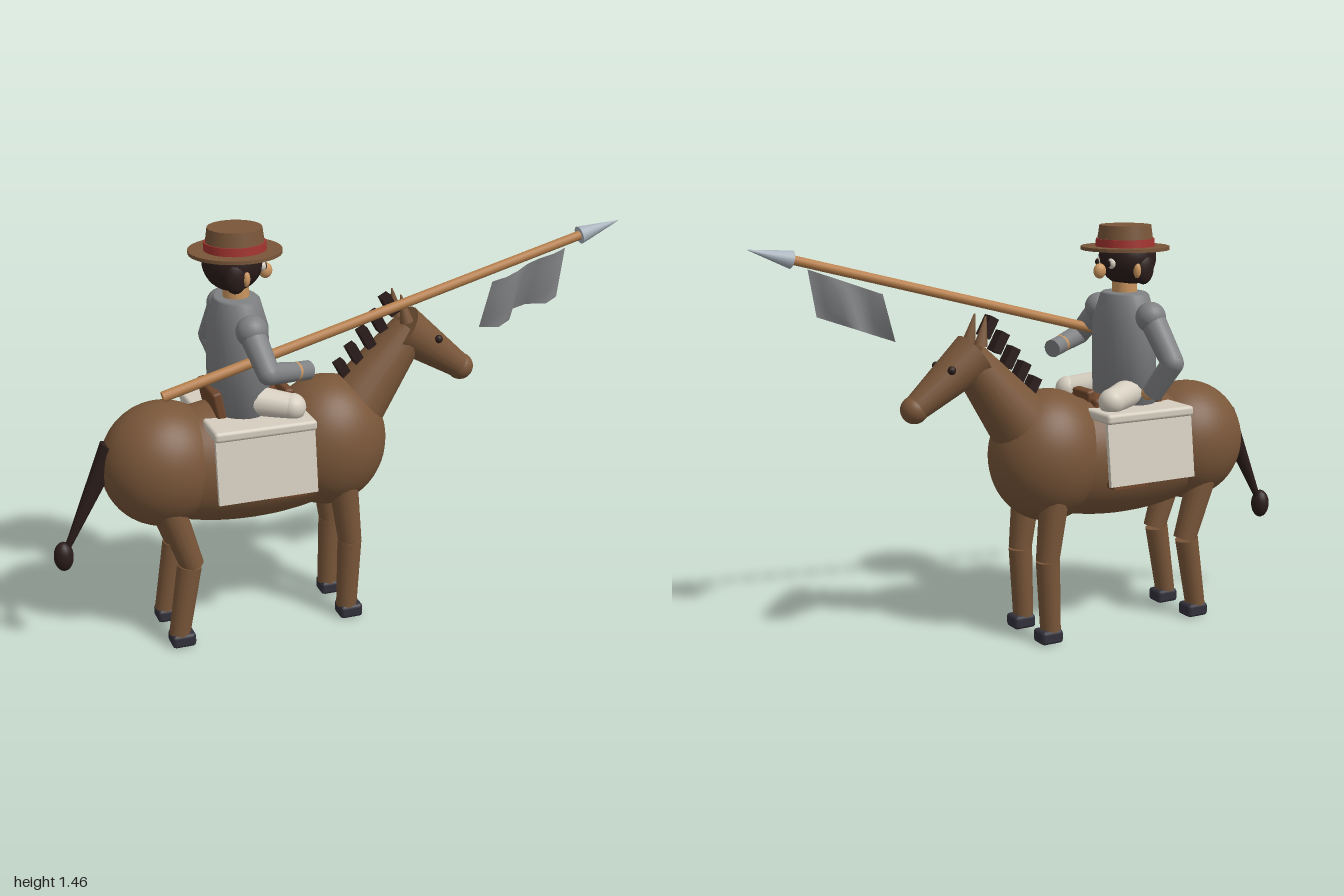
import * as THREE from 'three';
import { RoundedBoxGeometry } from 'three/addons/geometries/RoundedBoxGeometry.js';

const mat = (name, color, side = THREE.FrontSide) => {
  const m = new THREE.MeshStandardMaterial({ color, side });
  m.name = name;
  return m;
};

export function createModel() {
  const coat = mat('brown coat', 0x795639);
  const leather = mat('saddle leather', 0x70472c);
  const hair = mat('dark hair', 0x2b1d1b);
  const hoofMat = mat('hoof', 0x32303a);
  const cream = mat('cream cloth', 0xd6cec0);
  const grey = mat('grey cloth', 0x808183, THREE.DoubleSide);
  const red = mat('red band', 0xa33430);
  const steel = mat('steel', 0xaab4be);
  const wood = mat('wood', 0xb9814d);
  const skin = mat('skin', 0xcb965f);

  const root = new THREE.Group();
  const V = (p) => new THREE.Vector3(...p);
  const add = (parent, name, geo, m, pos = [0, 0, 0], rot = [0, 0, 0]) => {
    const mesh = new THREE.Mesh(geo, m);
    mesh.name = name;
    mesh.position.set(...pos);
    mesh.rotation.set(...rot);
    parent.add(mesh);
    return mesh;
  };
  const group = (name) => {
    const g = new THREE.Group();
    g.name = name;
    root.add(g);
    return g;
  };
  // ellipsoid with radii r
  const ball = (parent, name, m, pos, r, seg = 28) => {
    const geo = new THREE.SphereGeometry(1, seg, Math.ceil(seg * 0.7)).scale(...r);
    return add(parent, name, geo, m, pos);
  };
  // tapered cylinder between two points
  const limb = (parent, name, m, a, b, ra, rb, seg = 16) => {
    const A = V(a), B = V(b), d = B.clone().sub(A);
    const mesh = add(parent, name, new THREE.CylinderGeometry(rb, ra, d.length(), seg), m);
    mesh.position.copy(A.add(B).multiplyScalar(0.5));
    mesh.quaternion.setFromUnitVectors(new THREE.Vector3(0, 1, 0), d.normalize());
    return mesh;
  };

  // Horse body
  const horse = group('horse');
  ball(horse, 'chest', coat, [-0.01, 0.66, 0], [0.215, 0.237, 0.195], 40);
  ball(horse, 'rump', coat, [-0.605, 0.655, 0], [0.215, 0.22, 0.195], 40);
  ball(horse, 'barrel', coat, [-0.3, 0.64, 0], [0.5, 0.223, 0.19], 40);

  // Neck and head
  limb(horse, 'neck', coat, [0.08, 0.76, 0], [0.305, 1.035, 0], 0.12, 0.066, 20);
  limb(horse, 'head', coat, [0.275, 1.04, 0], [0.505, 0.87, 0], 0.085, 0.045, 20);
  ball(horse, 'muzzle', coat, [0.505, 0.87, 0], [0.048, 0.048, 0.048]);
  for (const s of [1, -1]) {
    limb(horse, 'horseEar', coat, [0.275, 1.075, s * 0.045], [0.252, 1.175, s * 0.04], 0.024, 0.003, 10);
    ball(horse, 'horseEye', hair, [0.392, 1.003, s * 0.06], [0.015, 0.015, 0.013], 12);
  }
  for (let i = 0; i < 5; i++) {
    const t = i / 4;
    add(horse, 'maneTuft', new THREE.BoxGeometry(0.035, 0.075, 0.045), hair,
      [0.055 + 0.17 * t, 0.91 + 0.222 * t, 0], [0, 0, 0.5]);
  }

  // Legs: upper joint, knee top, knee bottom, ankle x
  for (const s of [1, -1]) {
    const z = s * 0.1;
    for (const [name, hip, knee, low, ankle] of [
      ['front', 0.015, 0.045, 0.044, 0.033], ['rear', -0.62, -0.54, -0.55, -0.594]]) {
      const leg = new THREE.Group();
      leg.name = name + 'Leg';
      horse.add(leg);
      limb(leg, 'upperLeg', coat, [hip, 0.55, z], [knee, 0.3, z], 0.054, 0.042);
      limb(leg, 'lowerLeg', coat, [low, 0.3, z], [ankle, 0.04, z], 0.043, 0.037);
      add(leg, 'hoof', new RoundedBoxGeometry(0.086, 0.05, 0.078, 1, 0.013), hoofMat, [ankle + 0.009, 0.025, z]);
    }
  }

  // Tail
  limb(horse, 'tail', hair, [-0.78, 0.74, 0], [-0.955, 0.38, 0], 0.042, 0.01, 12);
  ball(horse, 'tailTuft', hair, [-0.965, 0.36, 0], [0.034, 0.053, 0.034], 18);

  // Saddle cloth, side panels and saddle
  const tack = group('saddle');
  add(tack, 'saddleCloth', new RoundedBoxGeometry(0.36, 0.036, 0.46, 2, 0.012), cream, [-0.302, 0.81, 0]);
  for (const s of [1, -1]) {
    add(tack, 'sidePanel', new THREE.BoxGeometry(0.35, 0.24, 0.016), cream, [-0.302, 0.693, s * 0.222], [-s * 0.13, 0, 0]);
    add(tack, 'panelFlap', new THREE.BoxGeometry(0.32, 0.21, 0.02), cream, [-0.302, 0.69, s * 0.215], [-s * 0.13, 0, 0]);
    add(tack, 'stirrup', new THREE.BoxGeometry(0.14, 0.02, 0.05), leather, [-0.225, 0.567, s * 0.195]);
  }
  add(tack, 'saddleSeat', new RoundedBoxGeometry(0.27, 0.05, 0.18, 2, 0.015), leather, [-0.29, 0.835, 0]);
  add(tack, 'cantle', new RoundedBoxGeometry(0.034, 0.1, 0.2, 2, 0.01), leather, [-0.425, 0.87, 0], [0, 0, 0.2]);
  add(tack, 'pommel', new RoundedBoxGeometry(0.035, 0.06, 0.11, 2, 0.01), leather, [-0.165, 0.855, 0], [0, 0, -0.2]);

  // Rider torso
  const rider = group('rider');
  const profile = [[0, 0.83], [0.104, 0.83], [0.104, 1.12], [0.078, 1.215], [0.07, 1.222], [0, 1.222]]
    .map((p) => new THREE.Vector2(...p));
  const torso = add(rider, 'torso', new THREE.LatheGeometry(profile, 28), grey, [-0.33, 0, 0]);
  torso.scale.z = 1.34;
  limb(rider, 'riderNeck', skin, [-0.33, 1.2, 0], [-0.33, 1.28, 0], 0.045, 0.045);

  // Rider head: dark hair and beard, eyes, ears, nose
  ball(rider, 'riderHead', hair, [-0.34, 1.345, 0], [0.103, 0.102, 0.103]);
  ball(rider, 'nose', skin, [-0.225, 1.3, 0], [0.024, 0.027, 0.019], 16);
  for (const s of [1, -1]) {
    ball(rider, 'sideHair', hair, [-0.355, 1.31, s * 0.083], [0.04, 0.057, 0.025], 16);
    ball(rider, 'riderEar', skin, [-0.322, 1.305, s * 0.093], [0.014, 0.028, 0.014], 14);
    ball(rider, 'eyeWhite', cream, [-0.25, 1.328, s * 0.038], [0.014, 0.019, 0.019], 16);
    ball(rider, 'pupil', hair, [-0.238, 1.328, s * 0.038], [0.006, 0.012, 0.012], 12);
  }

  // Hat
  add(rider, 'hatBrim', new THREE.CylinderGeometry(0.158, 0.158, 0.012, 40), coat, [-0.33, 1.378, 0]);
  add(rider, 'hatCrown', new THREE.CylinderGeometry(0.092, 0.103, 0.078, 40), coat, [-0.33, 1.42, 0]);
  add(rider, 'hatBand', new THREE.CylinderGeometry(0.104, 0.106, 0.028, 40), red, [-0.33, 1.397, 0]);

  // Rider thighs and shoulders
  for (const s of [1, -1]) {
    limb(rider, 'thigh', cream, [-0.3, 0.875, s * 0.09], [-0.185, 0.858, s * 0.15], 0.052, 0.045);
    ball(rider, 'hip', cream, [-0.3, 0.875, s * 0.09], [0.052, 0.052, 0.052], 18);
    ball(rider, 'knee', cream, [-0.185, 0.858, s * 0.15], [0.047, 0.047, 0.047], 18);
    ball(rider, 'shoulder', grey, [-0.33, 1.148, s * 0.17], [0.054, 0.054, 0.052], 20);
  }

  // Arms: one reaching forward, the other resting on the hip
  const elbowA = [-0.31, 1.035, 0.28];
  limb(rider, 'upperArm', grey, [-0.33, 1.14, 0.172], elbowA, 0.045, 0.038);
  ball(rider, 'elbow', grey, elbowA, [0.038, 0.038, 0.038], 16);
  limb(rider, 'forearm', grey, elbowA, [-0.205, 1.013, 0.23], 0.038, 0.033);
  limb(rider, 'wrist', skin, [-0.208, 1.013, 0.231], [-0.196, 1.011, 0.225], 0.033, 0.033);
  limb(rider, 'glove', grey, [-0.198, 1.011, 0.226], [-0.147, 1.002, 0.2], 0.033, 0.033);
  const elbowB = [-0.345, 1.0, -0.287];
  limb(rider, 'upperArm', grey, [-0.335, 1.14, -0.172], elbowB, 0.046, 0.04);
  ball(rider, 'elbow', grey, elbowB, [0.04, 0.04, 0.04], 16);
  limb(rider, 'forearm', grey, elbowB, [-0.31, 0.885, -0.215], 0.04, 0.037);
  ball(rider, 'hand', skin, [-0.305, 0.885, -0.198], [0.025, 0.025, 0.025], 14);

  // Lance
  const lance = group('lance');
  limb(lance, 'shaft', wood, [-0.65, 0.977, 0.216], [0.86, 1.377, 0.207], 0.018, 0.016);
  limb(lance, 'spearhead', steel, [0.845, 1.373, 0.207], [0.995, 1.412, 0.205], 0.031, 0.001);

  // Pennant: sheared sheet whose folds deepen towards the bottom
  const cloth = new THREE.PlaneGeometry(1, 1, 6, 4);
  const p = cloth.attributes.position;
  for (let i = 0; i < p.count; i++) {
    const u = p.getX(i) + 0.5, v = 0.5 - p.getY(i);
    p.setXYZ(i, 0.52 + 0.265 * u - 0.035 * v, 1.24 + 0.097 * u - 0.165 * v,
      0.212 + (0.012 + 0.035 * v) * Math.sin(u * Math.PI * 3 - 0.6));
  }
  cloth.computeVertexNormals();
  add(lance, 'pennant', cloth, grey);

  return root;
}
